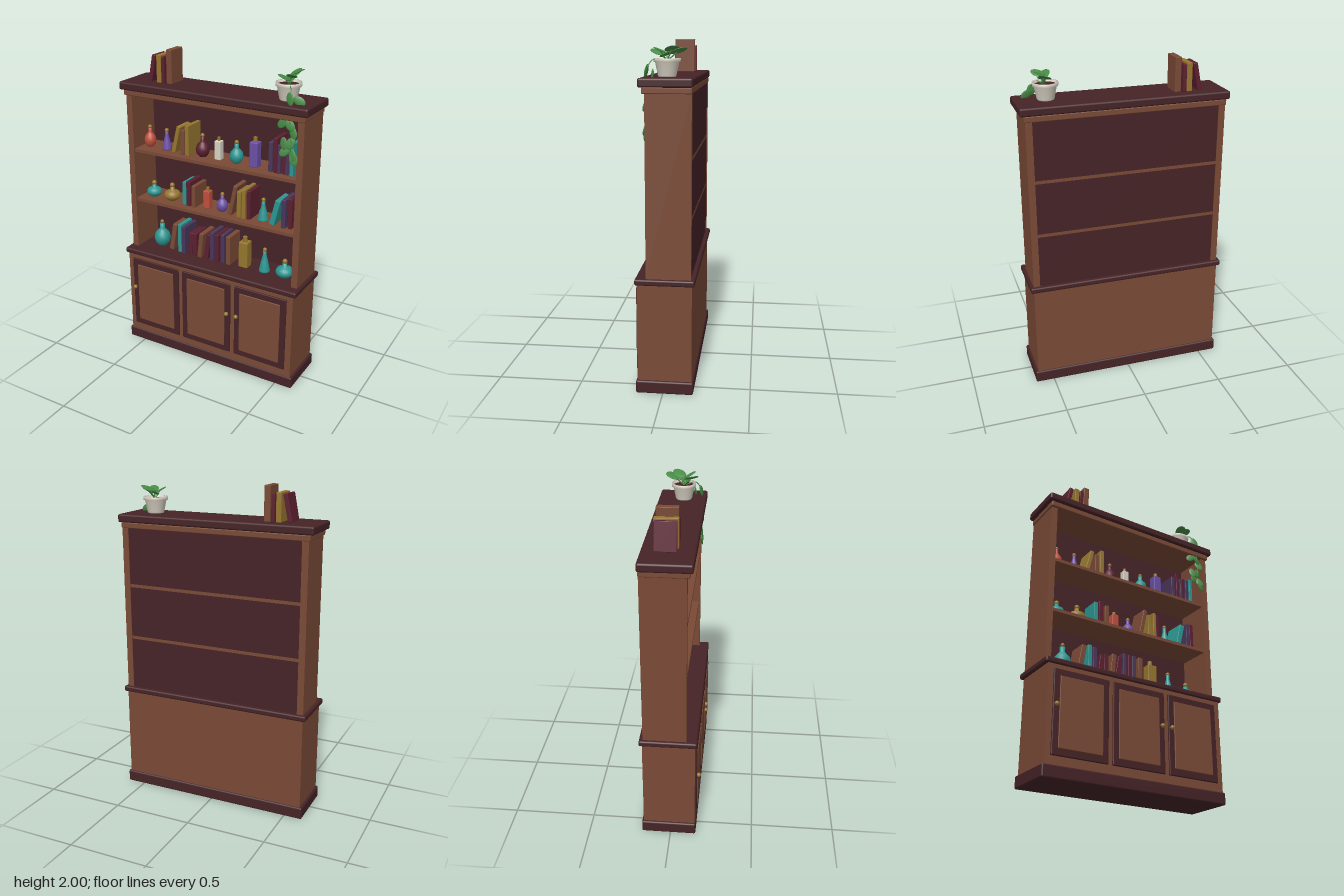
import * as THREE from 'three';
import { RoundedBoxGeometry } from 'three/addons/geometries/RoundedBoxGeometry.js';

const mat = (name, color) => {
  const m = new THREE.MeshStandardMaterial({ color });
  m.name = name;
  return m;
};

export function createModel() {
  const dark = mat('darkWood', 0x452326), wood = mat('brownWood', 0x7a4a36);
  const wine = mat('burgundy', 0x5c1f30), gold = mat('gold', 0x96762f);
  const teal = mat('teal', 0x2c9692), purple = mat('purple', 0x6c50a6);
  const red = mat('red', 0xc04f3d), cream = mat('cream', 0xdad3c5);
  const green = mat('leafGreen', 0x478a45), plum = mat('plum', 0x4a3659);

  const model = new THREE.Group();
  model.name = 'bookcase';

  const add = (name, geo, material, parent = model) => {
    const m = new THREE.Mesh(geo, material);
    m.name = name;
    parent.add(m);
    return m;
  };
  // box from its extents; r rounds the edges
  const box = (name, material, x0, x1, y0, y1, z0, z1, r = 0, parent = model) => {
    const s = [x1 - x0, y1 - y0, z1 - z0];
    const geo = r ? new RoundedBoxGeometry(...s, 2, r) : new THREE.BoxGeometry(...s);
    const m = add(name, geo, material, parent);
    m.position.set((x0 + x1) / 2, (y0 + y1) / 2, (z0 + z1) / 2);
    return m;
  };

  // carcass
  box('plinth', dark, -0.615, 0.615, 0, 0.075, -0.175, 0.155, 0.01);
  box('cabinet', wood, -0.6, 0.6, 0.07, 0.655, -0.165, 0.147);
  box('counter', dark, -0.62, 0.62, 0.648, 0.683, -0.182, 0.158, 0.01);
  for (const s of [-1, 1])
    box('sideWall', wood, Math.min(s * 0.6, s * 0.56), Math.max(s * 0.6, s * 0.56), 0.68, 1.72, -0.16, 0.095);
  box('backPanel', dark, -0.56, 0.56, 0.68, 1.72, -0.156, -0.135);
  box('cornice', wood, -0.607, 0.607, 1.711, 1.747, -0.162, 0.112, 0.006);
  box('topSlab', dark, -0.628, 0.628, 1.745, 1.795, -0.168, 0.13, 0.012);
  const shelfY = [0.683, 1.027, 1.363];
  for (const y of shelfY.slice(1)) box('shelf', wood, -0.56, 0.56, y - 0.02, y, -0.1563, 0.085);

  // doors with raised panels and knobs
  [[-0.387, -0.547], [-0.003, 0.155], [0.383, 0.224]].forEach(([x, knobX]) => {
    const door = new THREE.Group();
    door.name = 'door';
    model.add(door);
    box('doorFrame', dark, x - 0.178, x + 0.178, 0.125, 0.62, 0.14, 0.157, 0.005, door);
    box('doorPanel', wood, x - 0.14, x + 0.14, 0.165, 0.58, 0.15, 0.162, 0.004, door);
    const knob = add('knob', new THREE.SphereGeometry(0.014, 14, 10), gold, door);
    knob.position.set(knobX, 0.41, 0.167);
  });

  // books: [left, width, height, material, sideways lean of the top]
  const books = (y, list) => list.forEach(([x, w, h, material, lean = 0], i) => {
    const pivot = new THREE.Group();
    pivot.name = 'book';
    pivot.position.set(lean > 0 ? x + w : x, y, 0);
    pivot.rotation.z = -Math.atan2(lean, h);
    model.add(pivot);
    const d = 0.062 + 0.005 * ((i * 7) % 3);
    const x0 = lean > 0 ? -w : 0;
    box('bookBlock', material, x0, x0 + w, 0, h, -0.032 - d, -0.032 + d, 0.003, pivot);
  });
  books(1.795, [
    [-0.475, 0.026, 0.163, wine, 0.032], [-0.41, 0.032, 0.168, gold],
    [-0.373, 0.022, 0.16, wine], [-0.342, 0.038, 0.205, wood]]);
  books(shelfY[2], [
    [-0.32, 0.026, 0.175, gold, 0.042], [-0.25, 0.03, 0.155, wood], [-0.213, 0.026, 0.192, gold],
    [0.353, 0.026, 0.18, plum], [0.386, 0.024, 0.21, wine], [0.415, 0.02, 0.175, plum],
    [0.438, 0.022, 0.19, wine], [0.463, 0.026, 0.185, plum], [0.493, 0.024, 0.195, teal]]);
  books(shelfY[1], [
    [-0.245, 0.027, 0.153, teal], [-0.213, 0.03, 0.164, wine], [-0.172, 0.027, 0.143, wood],
    [0.083, 0.026, 0.2, wood, 0.042], [0.15, 0.028, 0.17, gold], [0.187, 0.023, 0.19, gold],
    [0.215, 0.026, 0.185, wine], [0.37, 0.034, 0.165, teal, 0.04],
    [0.452, 0.028, 0.18, plum], [0.49, 0.027, 0.19, wine]]);
  books(shelfY[0], [
    [-0.355, 0.032, 0.187, wood, 0.032], [-0.284, 0.026, 0.195, teal], [-0.253, 0.027, 0.185, plum],
    [-0.21, 0.03, 0.153, wine, 0.012], [-0.17, 0.028, 0.158, wine], [-0.135, 0.03, 0.17, wood, 0.018],
    [-0.093, 0.032, 0.17, wine, 0.025], [-0.04, 0.026, 0.195, plum], [-0.002, 0.026, 0.19, wine],
    [0.034, 0.026, 0.195, plum], [0.076, 0.03, 0.193, wood]]);

  // bottle profiles as [fraction of radius, fraction of height]
  const profiles = {
    round: [[0, 0], [0.5, 0], [0.85, 0.12], [1, 0.3], [0.85, 0.48], [0.5, 0.6], [0.3, 0.68], [0.3, 0.85], [0, 0.85]],
    cone: [[0, 0], [0.95, 0], [1, 0.05], [0.65, 0.42], [0.34, 0.7], [0.32, 0.87], [0, 0.87]],
    flat: [[0, 0], [0.55, 0], [0.9, 0.14], [1, 0.3], [0.85, 0.46], [0.5, 0.56], [0.25, 0.62], [0.25, 0.76], [0, 0.76]],
  };
  const bottle = (kind, x, y, r, h, material) => {
    const g = new THREE.Group();
    g.name = kind + 'Bottle';
    g.position.set(x, y, -0.01);
    model.add(g);
    if (kind === 'square') {
      box('bottleBody', material, -r, r, 0, h * 0.84, -r, r, 0.005, g);
      add('stopper', new THREE.CylinderGeometry(r * 0.45, r * 0.45, h * 0.18, 14), gold, g).position.y = h * 0.91;
      return;
    }
    const pts = profiles[kind].map(([a, b]) => new THREE.Vector2(a * r, b * h));
    add('bottleBody', new THREE.LatheGeometry(pts, 20), material, g);
    const s = kind === 'flat' ? 0.016 : 0.013;
    add('stopper', new THREE.SphereGeometry(s, 12, 8), gold, g).position.y = h - s;
  };
  [
    ['round', -0.505, 2, 0.038, 0.142, red], ['cone', -0.378, 2, 0.031, 0.138, purple],
    ['round', -0.115, 2, 0.044, 0.147, wine], ['square', 0, 2, 0.021, 0.142, cream],
    ['round', 0.122, 2, 0.043, 0.142, teal], ['square', 0.247, 2, 0.027, 0.182, purple],
    ['flat', -0.487, 1, 0.05, 0.105, teal], ['flat', -0.347, 1, 0.055, 0.115, gold],
    ['square', -0.08, 1, 0.023, 0.138, red], ['round', 0.024, 1, 0.037, 0.125, purple],
    ['cone', 0.31, 1, 0.033, 0.147, teal], ['round', -0.435, 0, 0.055, 0.18, teal],
    ['square', 0.19, 0, 0.031, 0.205, gold], ['cone', 0.328, 0, 0.035, 0.162, teal],
    ['flat', 0.467, 0, 0.057, 0.12, teal],
  ].forEach(([kind, x, row, r, h, m]) => bottle(kind, x, shelfY[row], r, h, m));

  // potted plant
  const plant = new THREE.Group();
  plant.name = 'pottedPlant';
  model.add(plant);
  const potShape = [[0, 0], [0.047, 0], [0.051, 0.006], [0.066, 0.078], [0.074, 0.08], [0.075, 0.1], [0.065, 0.1], [0.062, 0.08]];
  const pot = add('pot', new THREE.LatheGeometry(potShape.map(p => new THREE.Vector2(...p)), 28), cream, plant);
  pot.position.set(0.447, 1.795, -0.01);
  const soil = add('soil', new THREE.CylinderGeometry(0.063, 0.063, 0.01, 20), dark, plant);
  soil.position.set(0.447, 1.877, -0.01);

  const leafGeo = new THREE.SphereGeometry(1, 14, 8);
  // crown leaves: [x, y, z, heading, half length, half width]
  [
    [0.458, 1.935, -0.075, 0.05, 0.05, 0.036], [0.478, 1.945, -0.04, -0.7, 0.05, 0.032],
    [0.442, 1.928, 0.035, 2.9, 0.05, 0.036], [0.478, 1.938, 0.025, -2.3, 0.045, 0.03],
    [0.455, 1.918, -0.01, 0.4, 0.045, 0.03],
  ].forEach(([x, y, z, heading, l, w]) => {
    const leaf = add('crownLeaf', leafGeo, green, plant);
    leaf.rotation.order = 'YXZ';
    leaf.rotation.set(0.3, heading, 0.35);
    leaf.scale.set(w, 0.005, l);
    leaf.position.set(x, y, z);
    const base = new THREE.Vector3(0.45, 1.88, -0.01);
    add('leafStalk', new THREE.TubeGeometry(new THREE.LineCurve3(base, leaf.position), 2, 0.004, 6), green, plant);
  });

  // vine hanging over the front edge
  const vine = new THREE.CatmullRomCurve3([
    [0.455, 1.88, 0], [0.49, 1.89, 0.06], [0.515, 1.82, 0.1], [0.515, 1.72, 0.105], [0.525, 1.6, 0.1], [0.52, 1.5, 0.1],
  ].map(p => new THREE.Vector3(...p)));
  add('vineStem', new THREE.TubeGeometry(vine, 30, 0.003, 6), green, plant);
  // hanging leaves: [x, y, z, tilt]
  [
    [0.507, 1.83, 0.096, 0.3], [0.545, 1.813, 0.057, 1.1], [0.467, 1.69, 0.1, -0.9], [0.515, 1.685, 0.102, 0.7],
    [0.535, 1.645, 0.1, 0.5], [0.52, 1.58, 0.098, -0.4], [0.48, 1.575, 0.1, 0.2],
    [0.487, 1.53, 0.1, -0.7], [0.535, 1.515, 0.1, 0.5], [0.543, 1.49, 0.1, 0.2],
  ].forEach(([x, y, z, tilt], i) => {
    const leaf = add('vineLeaf', leafGeo, green, plant);
    leaf.scale.set(0.025, 0.037, 0.006);
    leaf.rotation.set(-0.15, i % 2 ? 0.25 : -0.25, tilt);
    leaf.position.set(x, y, z);
  });

  return model;
}
